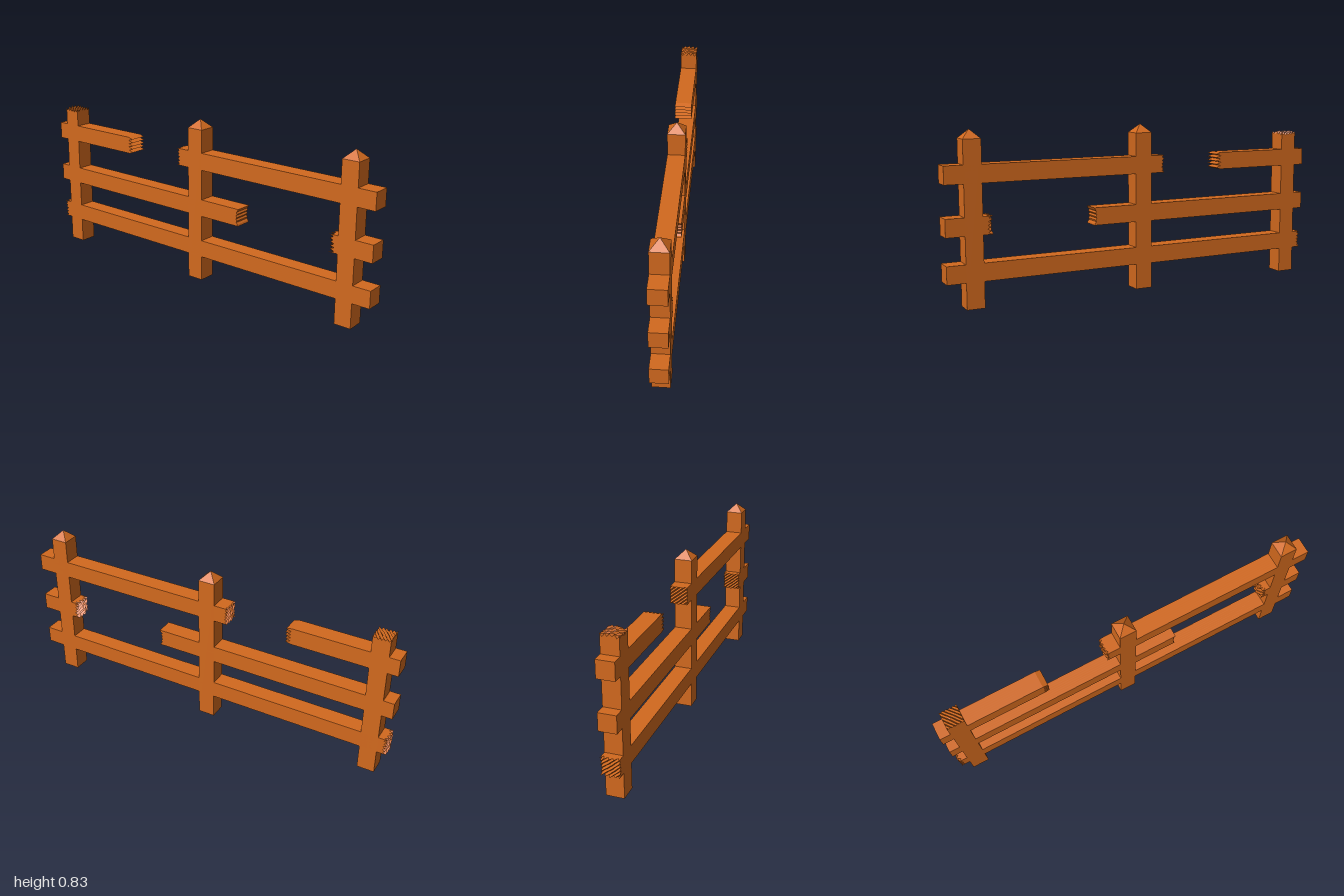
import * as THREE from 'three';

const T = 0.087; // timber thickness

// Repeatable value in 0..1 for a pair of numbers
function hash(a, b) {
  const s = Math.sin(a * 127.1 + b * 311.7) * 43758.5453;
  return s - Math.floor(s);
}

// Break patterns: how far the end is cut back, 0..1, at grid row i and column j
const sawtooth = (i) => (i % 2 ? 0.15 * hash(i, 3) : 0.75 + 0.25 * hash(i, 7));
const chipped = (i) => 0.8 * (1 - Math.abs(i - 5) / 5) ** 0.5 * (i % 2 ? 0.55 : 1) + 0.15 * hash(i, 5);
const splintered = (i, j) =>
  0.5 * ((i + j) % 2) + 0.3 * hash(i, j) + 0.2 * Math.abs(j - 4) / 4;

// Square timber along x from x0 to x1; `end` (+1 or -1) is snapped off with the given pattern
function timber(x0, x1, end = 0, depth = 0, pattern = sawtooth) {
  const n = end ? 10 : 1, m = end ? 8 : 1;
  const len = x1 - x0;
  let geo = new THREE.BoxGeometry(len, T, T, 1, n, m);
  if (end) {
    const p = geo.attributes.position;
    for (let k = 0; k < p.count; k++) {
      if (p.getX(k) * end <= 0) continue;
      const i = Math.round((p.getY(k) / T + 0.5) * n);
      const j = Math.round((p.getZ(k) / T + 0.5) * m);
      p.setX(k, end * (len / 2 - depth * pattern(i, j)));
    }
    geo = geo.toNonIndexed();
    geo.computeVertexNormals();
  }
  geo.translate((x0 + x1) / 2, 0, 0);
  return geo;
}

export function createModel() {
  const fence = new THREE.Group();
  fence.name = 'brokenFence';
  const wood = new THREE.MeshStandardMaterial({ color: 0xd2691e, flatShading: true });

  const add = (name, geo, x, y) => {
    const mesh = new THREE.Mesh(geo, wood);
    mesh.name = name;
    mesh.position.set(x, y, 0);
    fence.add(mesh);
    return mesh;
  };

  // Whole posts with pyramid tips
  for (const [side, x] of [['middle', -0.015], ['left', 0.865]]) {
    add(side + 'Post', new THREE.BoxGeometry(T, 0.79, T), x, 0.395);
    const tip = new THREE.ConeGeometry(T / Math.SQRT2, 0.043, 4, 1, true);
    tip.rotateY(Math.PI / 4);
    add(side + 'PostTip', tip, x, 0.8115);
  }

  // Snapped post
  const stump = timber(0, 0.772, 1, 0.025, splintered);
  stump.rotateZ(Math.PI / 2);
  add('brokenPost', stump, -0.903, 0);

  // Rails, some snapped at one end
  add('topRailRight', timber(-1, -0.44, 1, 0.032, sawtooth), 0, 0.63);
  add('topRailLeft', timber(-0.135, 1, -1, 0.02, splintered), 0, 0.63);
  add('middleRailRight', timber(-1, 0.26, 1, 0.02, chipped), 0, 0.389);
  add('middleRailLeft', timber(0.767, 1, -1, 0.037, splintered), 0, 0.389);
  add('bottomRail', timber(-1, 1, -1, 0.03, splintered), 0, 0.171);

  return fence;
}
